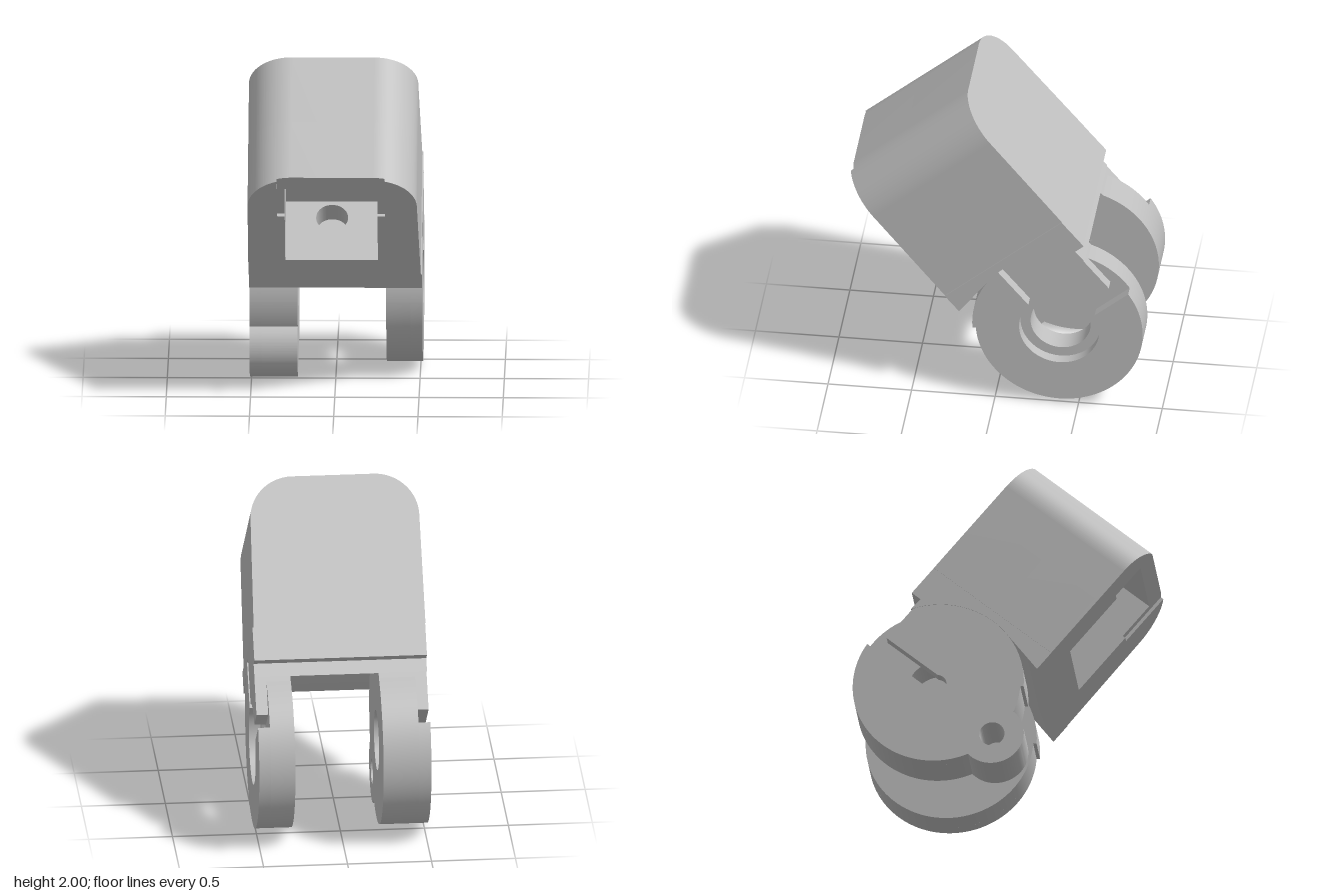
import * as THREE from 'three';
import { toCreasedNormals } from 'three/addons/utils/BufferGeometryUtils.js';

const rad = THREE.MathUtils.degToRad;
const R = 0.5;                              // leg disc radius
const EAR = { a: 0.471, b: -0.048, r: 0.19, hole: 0.075 };

export function createModel() {
  const grey = new THREE.MeshStandardMaterial({ color: 0xbfbfbf });
  grey.name = 'light grey';

  const model = new THREE.Group();
  model.name = 'hingedHousing';
  // Tilted frame whose origin is the hinge axis
  const tilted = new THREE.Group();
  tilted.name = 'tiltedBody';
  tilted.position.set(0, 0.53, -0.385);
  tilted.rotation.x = rad(40);
  model.add(tilted);

  const extrude = (shape, depth) =>
    new THREE.ExtrudeGeometry(shape, { depth, bevelEnabled: false, curveSegments: 40 });
  const add = (name, geometry) => {
    const mesh = new THREE.Mesh(toCreasedNormals(geometry, 0.5), grey);
    mesh.name = name;
    tilted.add(mesh);
  };
  // Side profile (z, y) swept between two x positions
  const addSide = (name, shape, x0, x1) =>
    add(name, extrude(shape, x1 - x0).rotateY(-Math.PI / 2).translate(x1, 0, 0));
  // Front profile (x, y) swept between two z positions
  const addFront = (name, shape, z0, z1) =>
    add(name, extrude(shape, z1 - z0).translate(0, 0, z0));
  const circle = (x, y, r) => new THREE.Path().absarc(x, y, r, 0, Math.PI * 2, true);

  // ---- Housing: rounded-top profile, solid at the back, hollow in front
  const roundedTop = (s) => {
    s.lineTo(0.49, 1.24);
    s.absarc(0.23, 1.24, 0.26, 0, Math.PI / 2, false);
    s.absarc(-0.255, 1.24, 0.26, Math.PI / 2, Math.PI, false);
    s.lineTo(-0.515, 0.572);
  };
  const solid = new THREE.Shape().moveTo(-0.515, 0.572).lineTo(0.508, 0.572);
  roundedTop(solid);
  addFront('housingBack', solid, -0.5, -0.02);

  const arch = new THREE.Shape().moveTo(0.255, 0.572).lineTo(0.508, 0.572);
  roundedTop(arch);
  arch.lineTo(-0.295, 0.572).lineTo(-0.295, 1.39).lineTo(0.255, 1.39);
  addFront('housingWalls', arch, -0.02, 0.393);

  // Front rim, interrupted by a shallow recess at the top
  const rightRim = new THREE.Shape().moveTo(0.255, 0.572).lineTo(0.508, 0.572).lineTo(0.49, 1.24);
  rightRim.absarc(0.23, 1.24, 0.26, 0, Math.acos(0.07 / 0.26), false);
  rightRim.lineTo(0.3, 1.145).lineTo(0.255, 1.145);
  addFront('rightRim', rightRim, 0.393, 0.413);
  const leftRim = new THREE.Shape().moveTo(-0.295, 0.572).lineTo(-0.295, 1.145).lineTo(-0.34, 1.145);
  leftRim.absarc(-0.255, 1.24, 0.26, Math.PI - Math.acos(0.085 / 0.26), Math.PI, false);
  leftRim.lineTo(-0.515, 0.572);
  addFront('leftRim', leftRim, 0.393, 0.413);

  // Cavity floor with a round hole
  const floor = new THREE.Shape().moveTo(-0.295, -0.413).lineTo(0.255, -0.413)
    .lineTo(0.255, 0.02).lineTo(-0.295, 0.02);
  floor.holes.push(circle(-0.02, -0.1, 0.095));
  add('cavityFloor', extrude(floor, 0.142).rotateX(-Math.PI / 2).translate(0, 0.572, 0));

  // Base plate with back lip, curved underside and front wedge
  const base = new THREE.Shape().moveTo(-0.5, 0.572).lineTo(-0.5, 0.367)
    .lineTo(-0.433, 0.367).lineTo(-0.436, 0.283);
  base.absarc(0, 0, 0.52, rad(147), rad(75), true);
  base.lineTo(0.413, 0.44).lineTo(0.413, 0.572);
  addSide('basePlate', base, -0.513, 0.515);

  // ---- Legs: rim of the disc, with an optional ear, then the raised front band
  const rim = (s, start, ear) => {
    if (ear) {
      const low = rad(331.9), high = rad(376.5);
      const earAngle = (t) => Math.atan2(R * Math.sin(t) - EAR.b, R * Math.cos(t) - EAR.a);
      s.absarc(0, 0, R, start, low, false);
      s.absarc(EAR.a, EAR.b, EAR.r, earAngle(low), earAngle(high), false);
      s.absarc(0, 0, R, high, rad(396), false);
      s.holes.push(circle(EAR.a, EAR.b, EAR.hole));
    } else {
      s.absarc(0, 0, R, start, rad(396), false);
    }
    s.absarc(0, 0, 0.52, rad(36), rad(75), false);
    s.lineTo(0.135, 0.572);
  };
  const slotEnd = Math.PI + Math.asin(0.05 / R);

  const innerLayer = (ear) => {
    const s = new THREE.Shape().moveTo(-0.43, 0.572).lineTo(-0.43, 0.255);
    rim(s, rad(149.3), ear);
    s.holes.push(circle(0, 0, 0.18));
    return s;
  };
  addSide('leftLegInner', innerLayer(false), 0.3, 0.445);
  addSide('rightLegInner', innerLayer(true), -0.44, -0.225);

  // Outer layer with wide bore, a back slot and an upper channel
  const bored = new THREE.Shape().moveTo(-0.43, 0.572).lineTo(-0.43, 0.05).lineTo(-0.235, 0.05);
  bored.absarc(0, 0, 0.24, rad(168), rad(101), true);
  bored.lineTo(-0.046, 0.55).lineTo(0.042, 0.55);
  bored.absarc(0, 0, 0.24, rad(80), rad(-168), true);
  rim(bored, slotEnd, false);
  addSide('leftLegOuter', bored, 0.445, 0.515);

  // Outer layer with a keyhole slot
  const keyed = new THREE.Shape().moveTo(-0.43, 0.572).lineTo(-0.43, 0.05).lineTo(-0.034, 0.05);
  keyed.absarc(0, 0, 0.06, rad(124), rad(-124), true);
  rim(keyed, slotEnd, true);
  addSide('rightLegOuter', keyed, -0.51, -0.44);

  return model;
}
